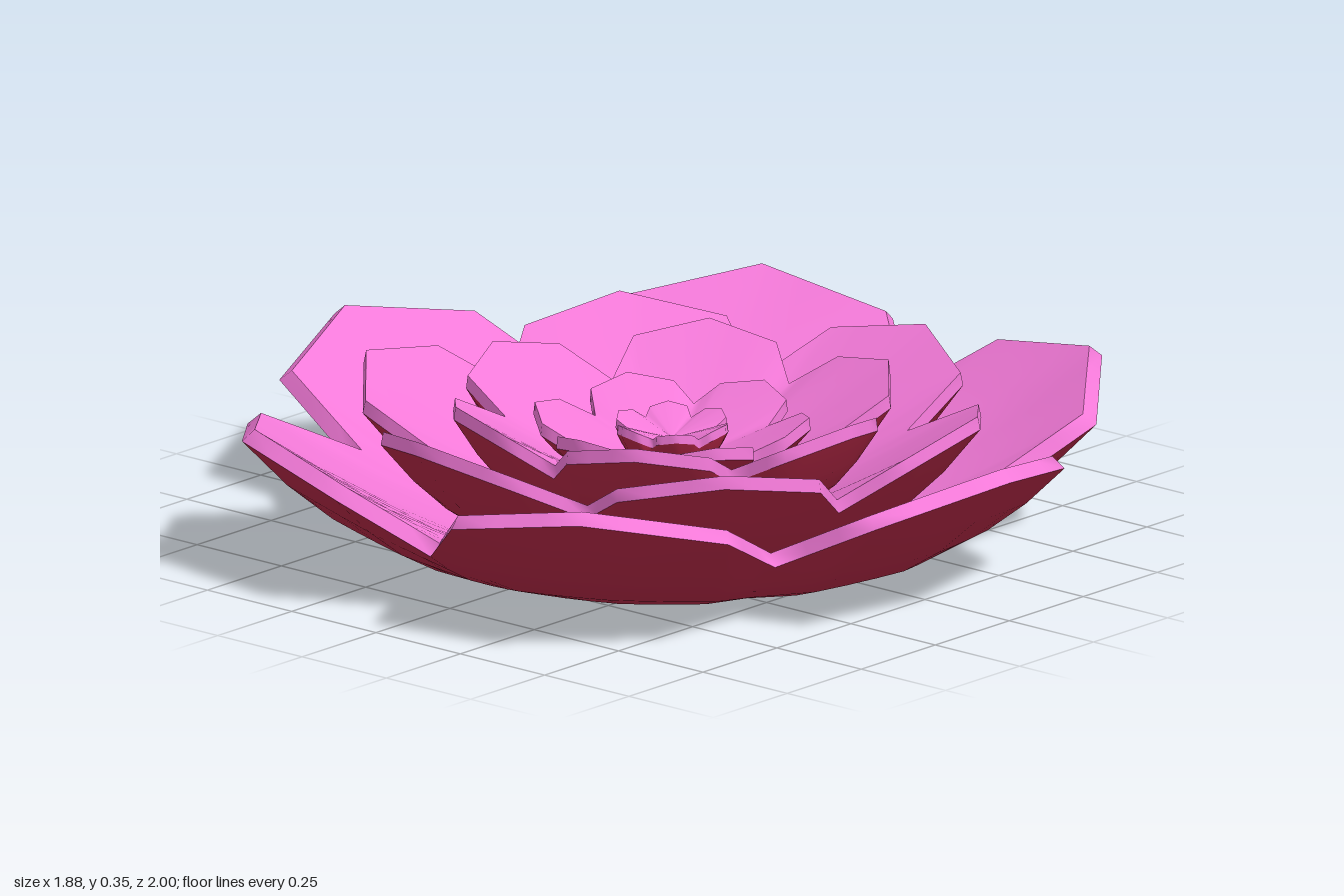
import * as THREE from 'three';

const PETALS = 6, SPLIT = 3, STEPS = 5;
const pink = new THREE.MeshStandardMaterial({ color: 0xf47ad9, side: THREE.DoubleSide });
const red = new THREE.MeshStandardMaterial({ color: 0xb62846, side: THREE.DoubleSide });

// Nested whorls: tip radius, tip height, base radius, base height, angle of the first tip,
// widening along x, rim inset and rise, curvature of the lining
const LAYERS = [
  { R: 1.0, top: 0.32, rb: 0.48, y0: 0, turn: -30, wide: 1.02, inset: 0.03, rise: 0.025, bend: 1.5 },
  { R: 0.735, top: 0.325, rb: 0.3, y0: 0.02, turn: 50.5, wide: 1, inset: 0.006, rise: 0.03, bend: 1.1 },
  { R: 0.52, top: 0.325, rb: 0.24, y0: 0.08, turn: -28, wide: 1, inset: 0.004, rise: 0.03, bend: 1.1 },
  { R: 0.315, top: 0.265, rb: 0.14, y0: 0.145, turn: 0, wide: 1, inset: 0.003, rise: 0.028, bend: 1.1 },
  { R: 0.135, top: 0.255, rb: 0.08, y0: 0.19, turn: 45, wide: 1, inset: 0.002, rise: 0.02, bend: 1.1 },
];

// Closed rim loop: tip, corner, notch, corner for each petal
function rimLoop({ R, top, turn, wide }) {
  const keys = [];
  for (let p = 0; p < PETALS; p++) {
    const notch = p % 3 === 0 ? 0.8 : 0.73;
    for (const [da, r, drop] of [[0, 1, 0], [19.5, 0.938, 0.06], [30, notch, 0.185], [40.5, 0.938, 0.06]]) {
      const a = THREE.MathUtils.degToRad(turn + p * 60 + da);
      keys.push(new THREE.Vector3(Math.cos(a) * r * R * wide, top - drop * R, -Math.sin(a) * r * R));
    }
  }
  return keys.flatMap((k, i) => Array.from({ length: SPLIT },
    (_, s) => k.clone().lerp(keys[(i + 1) % keys.length], s / SPLIT)));
}

// Ring of the same directions as the loop, at a fixed radius and height
const ringLike = (loop, r, y) => loop.map(p => {
  const l = Math.hypot(p.x, p.z);
  return new THREE.Vector3(p.x / l * r, y, p.z / l * r);
});

// Rings curving upward from a base ring to a rim
function bowlRings(base, rim, bend) {
  return Array.from({ length: STEPS + 1 }, (_, i) => {
    const t = i / STEPS;
    return base.map((b, j) => {
      const v = b.clone().lerp(rim[j], t);
      v.y = THREE.MathUtils.lerp(b.y, rim[j].y, t ** bend);
      return v;
    });
  });
}

// Skin a stack of closed rings
function skin(name, rings, material, flip) {
  const n = rings[0].length, index = [];
  for (let i = 0; i < rings.length - 1; i++) for (let j = 0; j < n; j++) {
    const k = (j + 1) % n;
    const a = i * n + j, b = a + n, c = i * n + k, d = c + n;
    index.push(...(flip ? [a, c, b, c, d, b] : [a, b, c, c, b, d]));
  }
  const g = new THREE.BufferGeometry().setFromPoints(rings.flat());
  g.setIndex(index);
  g.computeVertexNormals();
  const mesh = new THREE.Mesh(g, material);
  mesh.name = name;
  return mesh;
}

export function createModel() {
  const flower = new THREE.Group();
  flower.name = 'flower';
  LAYERS.forEach((layer, i) => {
    const { rb, y0, inset, rise, bend } = layer;
    const outer = rimLoop(layer);
    // Inner edge sits inward of and above the outer edge
    const inner = outer.map(p => {
      const f = 1 - inset / Math.hypot(p.x, p.z);
      return new THREE.Vector3(p.x * f, p.y + rise, p.z * f);
    });
    // Each lining runs in to the foot of the next whorl; the underside stays open
    const foot = LAYERS[i + 1] ?? { rb: 0.001, y0: 0.23 };

    const whorl = new THREE.Group();
    whorl.name = 'petalWhorl' + (i + 1);
    whorl.add(
      skin('petalOutside', bowlRings(ringLike(outer, rb, y0), outer, 1.95), red, true),
      skin('petalRim', [outer, inner], pink, true),
      skin('petalLining', bowlRings(ringLike(inner, foot.rb, foot.y0), inner, bend), pink, false));
    flower.add(whorl);
  });
  return flower;
}
